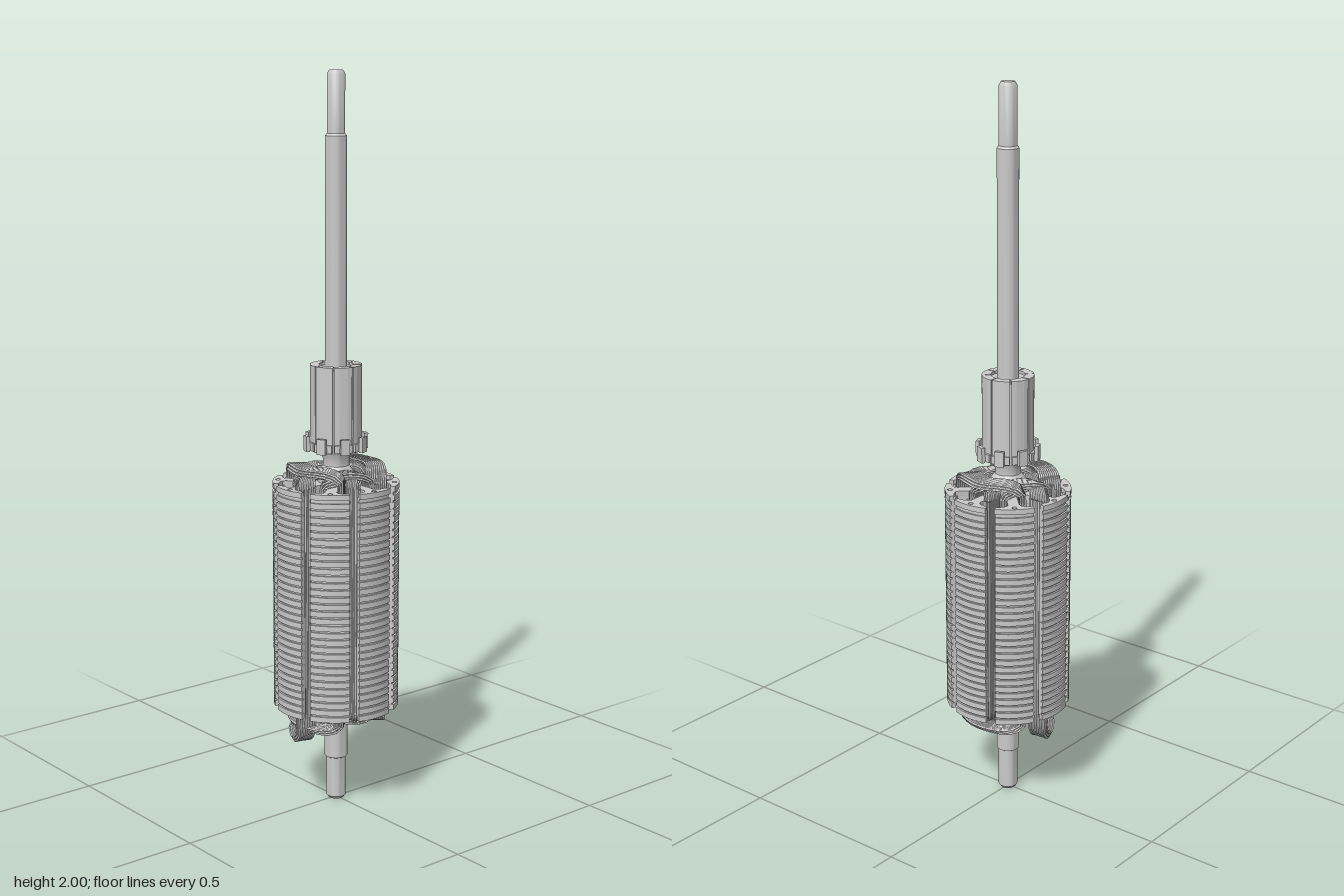
import * as THREE from 'three';
import { mergeGeometries, toCreasedNormals } from 'three/addons/utils/BufferGeometryUtils.js';

const grey = new THREE.MeshStandardMaterial({ color: 0xcccccc });
const STACK_BOTTOM = 0.28, STACK_TOP = 0.91, PLATES = 32;

function part(name, geometry, parent) {
  const mesh = new THREE.Mesh(geometry, grey);
  mesh.name = name;
  parent.add(mesh);
  return mesh;
}

const lathe = (pts, sides = 24) =>
  toCreasedNormals(new THREE.LatheGeometry(pts.map(p => new THREE.Vector2(...p)), sides), 0.6);

// Extrude a flat outline upwards, starting at height y
function extrudeUp(shape, y, height) {
  const geo = new THREE.ExtrudeGeometry(shape, { depth: height, bevelEnabled: false, curveSegments: 8 });
  return toCreasedNormals(geo.rotateX(-Math.PI / 2).translate(0, y, 0), 0.5);
}

// Lamination outline: a hub with eight T-shaped teeth
function plateShape(scale, dimples) {
  const half = [[0.015, 0.066], [0.015, 0.136], [0.019, 0.144], [0.028, 0.149], [0.05, 0.151],
    [0.053, 0.163], [0.036, 0.168], [0.018, 0.171]];
  const tooth = [...half, [0, 0.172], ...half.slice().reverse().map(([x, y]) => [-x, y])];
  const points = [];
  for (let i = 0; i < 8; i++) {
    const a = i * Math.PI / 4;
    for (const [x, y] of tooth)
      points.push(new THREE.Vector2(x, y).multiplyScalar(scale).rotateAround(new THREE.Vector2(), a));
  }
  const shape = new THREE.Shape(points);
  if (dimples) for (let i = 0; i < 8; i++) {
    const a = i * Math.PI / 4;
    shape.holes.push(new THREE.Path().absarc(0.158 * Math.cos(a), 0.158 * Math.sin(a), 0.007, 0, Math.PI * 2, true));
  }
  return shape;
}

function makeStack() {
  const stack = new THREE.Group();
  stack.name = 'laminationStack';
  const pitch = (STACK_TOP - STACK_BOTTOM) / PLATES, thick = pitch * 0.76;
  const plain = extrudeUp(plateShape(1, false), 0, thick);
  const dimpled = extrudeUp(plateShape(1, true), 0, thick);
  for (let i = 0; i < PLATES; i++) {
    const end = i === 0 || i === PLATES - 1;
    const y = i === PLATES - 1 ? STACK_TOP - thick : STACK_BOTTOM + i * pitch;
    part('lamination', end ? dimpled : plain, stack).position.y = y;
  }
  // Slightly smaller body that closes the gaps between the plates
  part('stackCore', extrudeUp(plateShape(0.97, false), STACK_BOTTOM + 0.012, STACK_TOP - STACK_BOTTOM - 0.024), stack);
  return stack;
}

// One coil spanning three teeth, with its end turns bulging away from the shaft
function makeCoil({ angle, r0, r1, top, bottom, topBulge = [1, 0], bottomBulge = topBulge }) {
  const rows = 10, layers = 3, wire = 0.0031, c = Math.SQRT1_2, tubes = [];
  for (let layer = 0; layer < layers; layer++) for (let row = 0; row < rows; row++) {
    const r = r0 + (r1 - r0) * row / (rows - 1), off = 0.019 + 0.0058 * layer;
    const x = c * (r - off), z = c * (r + off);
    const endTurn = (y0, y1, [k, shift]) => {
      const side = Math.sign(y1 - y0), y = y1 - side * 0.0058 * (layers - 1 - layer);
      const mid = x * k + shift, shoulder = x + (mid - x) * 0.45;
      const path = [[x, y0, z], [x, y0 + (y - y0) * 0.6, z * 0.98], [shoulder, y, z * 0.72], [mid, y, 0],
        [shoulder, y, -z * 0.72], [x, y0 + (y - y0) * 0.6, -z * 0.98], [x, y0, -z]];
      const curve = new THREE.CatmullRomCurve3(path.map(p => new THREE.Vector3(...p)));
      tubes.push(new THREE.TubeGeometry(curve, 13, wire, 5));
    };
    endTurn(STACK_TOP, top, topBulge);
    endTurn(STACK_BOTTOM, bottom, bottomBulge);
    for (const s of [-1, 1]) {
      const leg = new THREE.LineCurve3(new THREE.Vector3(x, STACK_BOTTOM, s * z), new THREE.Vector3(x, STACK_TOP, s * z));
      tubes.push(new THREE.TubeGeometry(leg, 1, wire, 5));
    }
  }
  return mergeGeometries(tubes).rotateY(-angle * Math.PI / 180);
}

function makeWindings() {
  const windings = new THREE.Group();
  windings.name = 'windings';
  const coils = [];
  // Outer pair, diagonal pair and the innermost pair
  for (const turn of [0, 180]) {
    coils.push({ angle: turn, r0: 0.085, r1: 0.137, top: 0.957, bottom: 0.23, topBulge: [1.25, 0.028] });
    coils.push({ angle: turn - 45, r0: 0.075, r1: 0.122, top: 0.944, bottom: 0.245, topBulge: [1, 0.008] });
    coils.push({ angle: turn + 90, r0: 0.07, r1: 0.105, top: 0.925, bottom: 0.262 });
  }
  // First-wound coils; one hangs in a long loop at the lower end
  coils.push({ angle: 45, r0: 0.075, r1: 0.12, top: 0.932, bottom: 0.255 });
  coils.push({ angle: 225, r0: 0.1, r1: 0.153, top: 0.932, bottom: 0.193, bottomBulge: [1.1, 0.025] });
  for (const coil of coils) part('coil', makeCoil(coil), windings);
  return windings;
}

function makeCommutator() {
  const commutator = new THREE.Group();
  commutator.name = 'commutator';
  part('insulatorCore', lathe([[0.028, 0.995], [0.066, 0.995], [0.066, 1.222], [0.028, 1.222]], 32), commutator);
  const ringSector = (inner, outer, halfAngle) => {
    const shape = new THREE.Shape();
    shape.absarc(0, 0, outer, -halfAngle, halfAngle, false);
    shape.absarc(0, 0, inner, halfAngle, -halfAngle, true);
    return shape;
  };
  const bar = extrudeUp(ringSector(0.046, 0.07, 0.365), 1.0, 0.23);
  const foot = extrudeUp(ringSector(0.06, 0.077, 0.34), 1.0, 0.022);
  for (let i = 0; i < 8; i++) {
    const segment = new THREE.Group();
    segment.name = 'segment';
    segment.rotation.y = (i + 0.5) * Math.PI / 4;
    part('bar', bar, segment);
    part('foot', foot, segment);
    // Wire hook: an upright tang tied back to the bar
    part('hook', new THREE.BoxGeometry(0.01, 0.042, 0.026), segment).position.set(0.082, 1.018, 0);
    part('hookRoot', new THREE.BoxGeometry(0.02, 0.012, 0.026), segment).position.set(0.072, 1.008, 0);
    commutator.add(segment);
  }
  return commutator;
}

export function createModel() {
  const model = new THREE.Group();
  model.name = 'motorArmature';
  // Stepped shaft with chamfered ends
  part('shaft', lathe([[0, 0], [0.021, 0], [0.027, 0.008], [0.027, 0.122], [0.032, 0.125], [0.032, 0.95],
    [0.029, 0.952], [0.029, 1.832], [0.024, 1.838], [0.024, 1.99], [0.018, 2], [0, 2]]), model);
  // Spacer between the stack and the commutator
  part('spacer', lathe([[0.03, 0.9], [0.05, 0.9], [0.05, 0.935], [0.036, 0.955], [0.036, 0.975], [0.046, 0.997], [0.03, 0.997]]), model);
  model.add(makeStack(), makeWindings(), makeCommutator());
  return model;
}
